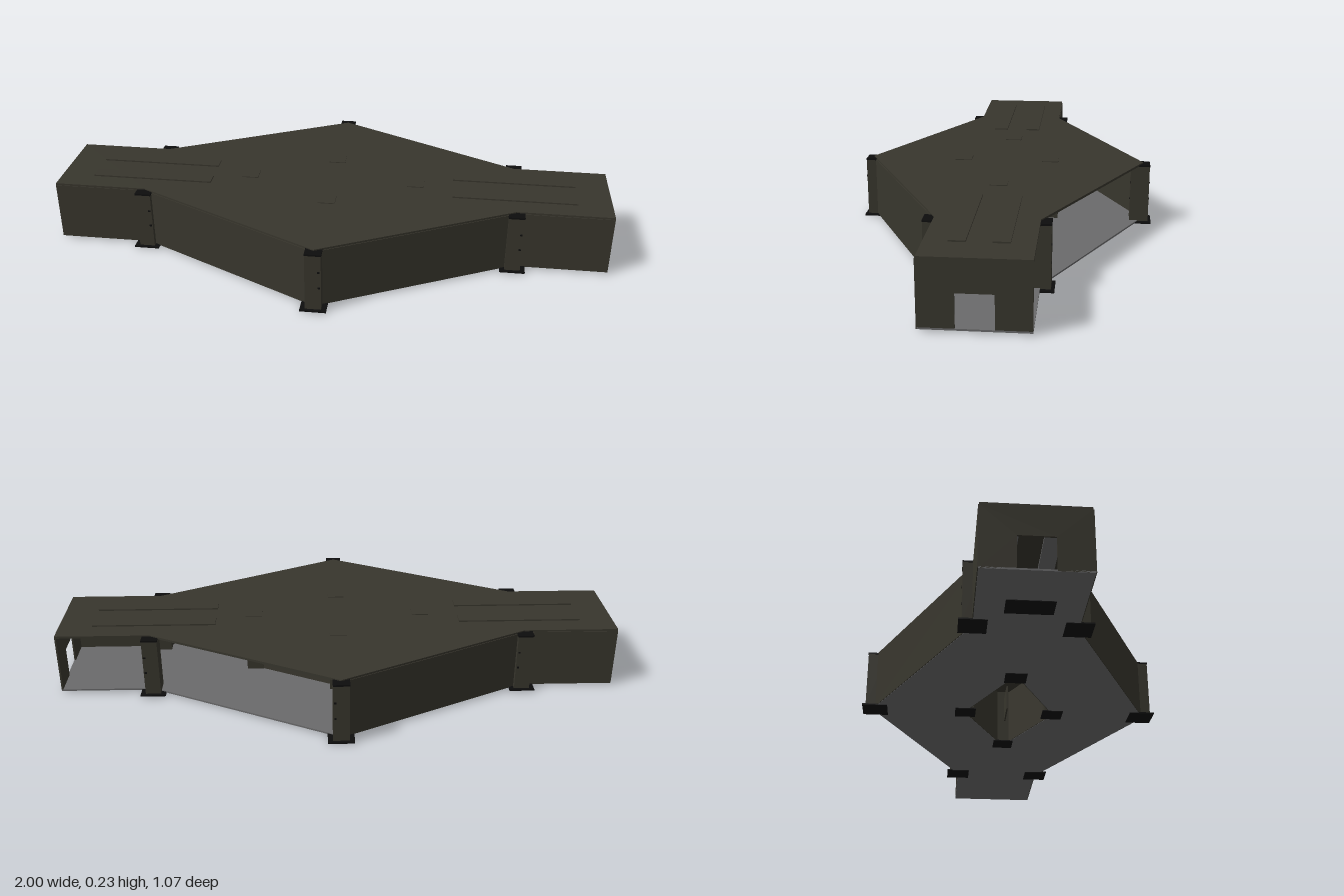
import * as THREE from 'three';

const OUTLINE = [[-1, 0.165], [-0.665, 0.165], [0, 0.5], [0.665, 0.165], [1, 0.165],
  [1, -0.165], [0.665, -0.165], [0, -0.5], [-0.665, -0.165], [-1, -0.165]];
const SHAFT = [[0.325, 0], [0, 0.165], [-0.325, 0], [0, -0.165]];
const toPoints = (list) => list.map(([x, z]) => new THREE.Vector2(x, z));

export function createModel() {
  const model = new THREE.Group();
  const mat = (name, color, side = THREE.FrontSide) => {
    const m = new THREE.MeshStandardMaterial({ color, side });
    m.name = name;
    return m;
  };
  const olive = mat('dark olive panel', 0x38362d);
  const grey = mat('floor grey', 0x6a6a6b);
  const black = mat('black metal', 0x0d0d0d);

  const add = (name, geometry, material, x = 0, y = 0, z = 0, parent = model) => {
    const mesh = new THREE.Mesh(geometry, material);
    mesh.name = name;
    mesh.position.set(x, y, z);
    parent.add(mesh);
    return mesh;
  };
  const box = (name, w, h, d, material, x, y, z, parent) =>
    add(name, new THREE.BoxGeometry(w, h, d), material, x, y, z, parent);

  // Horizontal slab whose top is at the given height
  const slab = (name, material, top, depth, hole) => {
    const shape = new THREE.Shape(toPoints(OUTLINE));
    if (hole) shape.holes.push(new THREE.Path(toPoints(hole)));
    const geo = new THREE.ExtrudeGeometry(shape, { depth, bevelEnabled: false });
    geo.rotateX(Math.PI / 2);
    add(name, geo, material, 0, top, 0);
  };
  slab('floor', grey, 0.012, 0.006, SHAFT);
  slab('roof', olive, 0.227, 0.008);

  // Upright wall between two plan points
  const wall = (name, [ax, az], [bx, bz]) => {
    const w = box(name, Math.hypot(bx - ax, bz - az), 0.213, 0.005, olive,
      (ax + bx) / 2, 0.1135, (az + bz) / 2);
    w.rotation.y = -Math.atan2(bz - az, bx - ax);
  };
  // Front side is complete; the back side is open on its left half
  for (const i of [0, 1, 2, 3, 7, 8]) wall('sideWall', OUTLINE[i], OUTLINE[i + 1]);
  // Central diamond shaft
  SHAFT.forEach((p, i) => wall('shaftWall', p, SHAFT[(i + 1) % 4]));

  // End walls with a doorway
  const end = new THREE.Shape(toPoints([[-0.165, 0.007], [-0.057, 0.007], [-0.057, 0.12],
    [0.057, 0.12], [0.057, 0.007], [0.165, 0.007], [0.165, 0.22], [-0.165, 0.22]]));
  const endGeo = new THREE.ExtrudeGeometry(end, { depth: 0.006, bevelEnabled: false });
  endGeo.translate(0, 0, -0.003).rotateY(Math.PI / 2);
  for (const s of [-1, 1]) add('endWall', endGeo, olive, s * 0.997, 0, 0);

  // Outer columns on black base plates
  for (const s of [-1, 1]) {
    for (const [x, z] of [[-0.665, 0.165], [0, 0.49], [0.665, 0.165]]) {
      const column = new THREE.Group();
      column.name = 'outerColumn';
      column.position.set(x, 0, z * s);
      model.add(column);
      box('columnShaft', 0.055, 0.21, 0.068, olive, 0, 0.112, 0, column);
      box('columnCap', 0.057, 0.006, 0.07, black, 0, 0.22, 0, column);
      box('columnBase', 0.09, 0.005, 0.09, black, 0, 0.0065, 0, column);
      for (const y of [0.095, 0.155]) {
        box('columnClip', 0.008, 0.006, 0.072, black, 0.02, y, 0, column);
      }
    }
  }

  // Shaft corner posts reaching just above the roof
  for (const [x, z] of [[0.305, 0], [-0.305, 0], [0, 0.16], [0, -0.16]]) {
    box('shaftPost', 0.06, 0.223, 0.06, olive, x, 0.1185, z);
    box('postBase', 0.075, 0.004, 0.075, black, x, 0.006, z);
  }

  // Ceiling lights: housing above the roof, diffuser below
  for (const x of [-0.66, 0.66]) {
    for (const z of [-0.065, 0.065]) {
      box('lightHousing', 0.44, 0.006, 0.052, olive, x, 0.229, z);
      box('lightDiffuser', 0.44, 0.008, 0.052, grey, x, 0.2155, z);
    }
  }

  // Screen inside the shaft and hatch under the floor
  box('shaftScreen', 0.12, 0.09, 0.005, olive, 0, 0.045, -0.01);
  box('floorHatch', 0.08, 0.004, 0.15, black, -0.795, 0.006, 0);
  return model;
}
